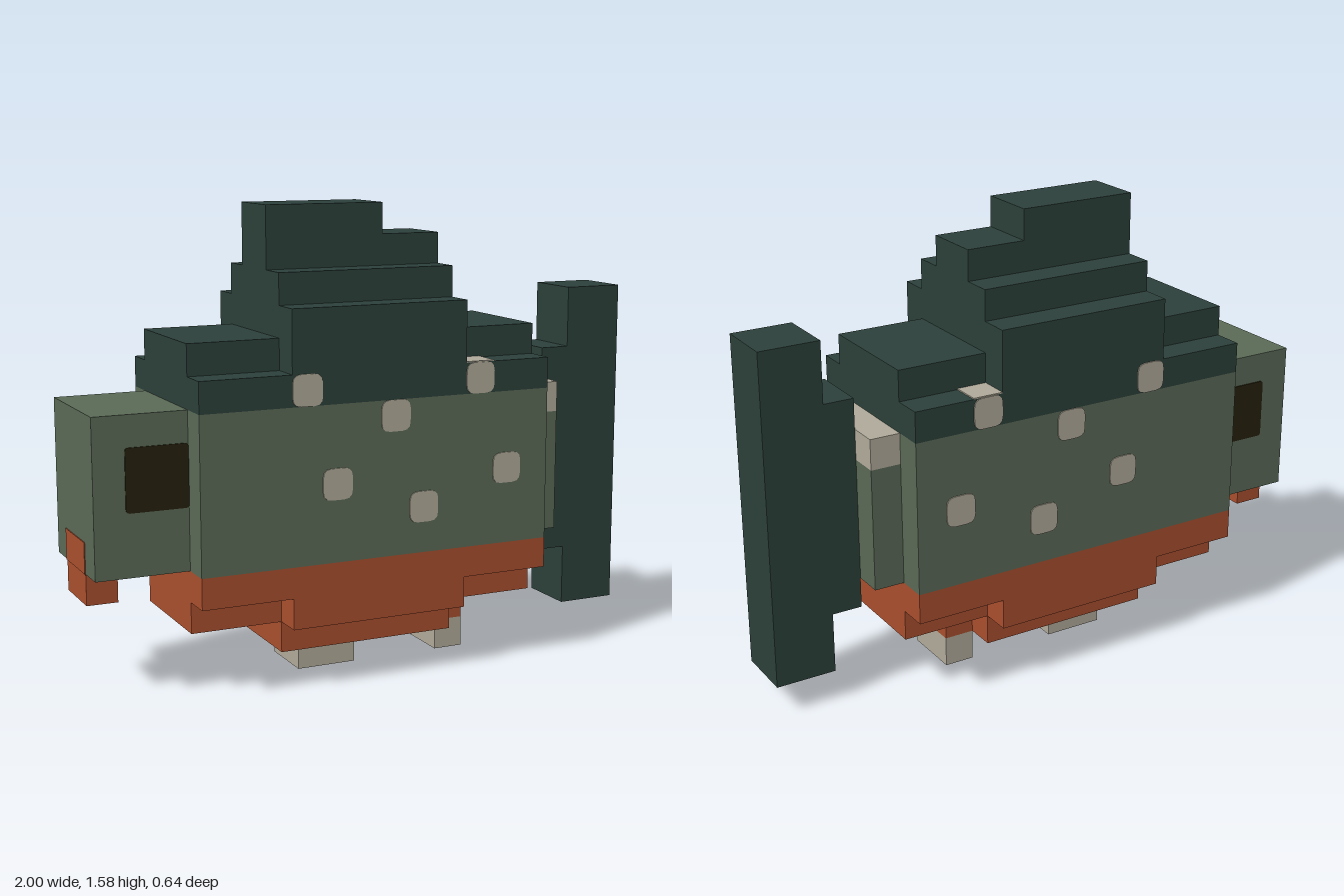
import * as THREE from 'three';

const U = 2 / 19; // one block

const mat = (name, color) => {
  const m = new THREE.MeshStandardMaterial({ color });
  m.name = name;
  return m;
};

export function createModel() {
  const model = new THREE.Group();
  model.name = 'blockFish';

  const darkGreen = mat('darkGreen', 0x2c403a);
  const green = mat('mossGreen', 0x5a6956);
  const orange = mat('rustOrange', 0xa84e2d);
  const beige = mat('paleBeige', 0xafa999);
  const eyeBrown = mat('eyeBrown', 0x25210e);

  // Box from block coordinates: x counted from the snout, y from the ground, z symmetric
  function block(name, material, x0, x1, y0, y1, halfZ) {
    const geo = new THREE.BoxGeometry((x1 - x0) * U, (y1 - y0) * U, 2 * halfZ * U);
    const mesh = new THREE.Mesh(geo, material);
    mesh.name = name;
    mesh.position.set(((x0 + x1) / 2) * U - 1, ((y0 + y1) / 2) * U, 0);
    model.add(mesh);
    return mesh;
  }

  // Thin rounded plate on both flanks
  function flankPlates(name, material, x, y, size, halfZ, r) {
    const s = size * U, h = s / 2;
    const shape = new THREE.Shape();
    shape.moveTo(-h + r, -h);
    shape.lineTo(h - r, -h);
    shape.quadraticCurveTo(h, -h, h, -h + r);
    shape.lineTo(h, h - r);
    shape.quadraticCurveTo(h, h, h - r, h);
    shape.lineTo(-h + r, h);
    shape.quadraticCurveTo(-h, h, -h, h - r);
    shape.lineTo(-h, -h + r);
    shape.quadraticCurveTo(-h, -h, -h + r, -h);
    const geo = new THREE.ExtrudeGeometry(shape, { depth: 0.004, bevelEnabled: false, curveSegments: 3 });
    for (const side of [1, -1]) {
      const mesh = new THREE.Mesh(geo, material);
      mesh.name = name;
      mesh.position.set((x + size / 2) * U - 1, (y + size / 2) * U, side * halfZ * U);
      if (side < 0) mesh.rotation.y = Math.PI;
      model.add(mesh);
    }
  }

  // Body and head
  block('body', green, 3, 15, 4, 9, 3);
  block('head', green, 0, 3, 4, 9, 2);

  // Stepped back and dorsal fin
  block('backLower', darkGreen, 3, 15, 9, 10, 3);
  block('backUpper', darkGreen, 3, 15, 10, 11, 2);
  block('dorsalBase', darkGreen, 6, 12, 10, 12, 3);
  block('dorsalMiddle', darkGreen, 6, 12, 12, 13, 2);
  block('dorsalRidge', darkGreen, 6, 12, 13, 14, 1);
  block('dorsalTip', darkGreen, 6, 10, 14, 15, 1);

  // Stepped belly
  block('bellyUpper', orange, 3, 15, 3, 4, 3);
  block('bellyMiddle', orange, 3, 15, 2, 3, 2);
  block('bellyMiddleWide', orange, 6, 12, 2, 3, 3);
  block('bellyLower', orange, 6, 12, 1, 2, 2);
  block('bellyRear', orange, 12, 13, 1, 2, 1);

  // Lower fins
  block('frontLowerFin', beige, 7, 9, 0, 1, 1);
  block('rearLowerFin', beige, 12, 13, 0, 1, 1);

  // Jaw and its painted lip
  block('jaw', orange, 0, 1, 3, 4, 1);
  block('lip', orange, -0.03, 0.02, 4, 5, 1);

  // Tail
  block('tailStem', green, 15, 16, 4, 8, 2);
  block('tailStemTop', beige, 15, 16, 8, 9, 2);
  block('tailFinRoot', darkGreen, 16, 17, 3, 10, 1);
  block('tailFin', darkGreen, 17, 19, 1, 12, 1);

  // Eyes
  flankPlates('eye', eyeBrown, 1, 6, 2, 2, 0.012);

  // Flank spots
  for (const [x, y] of [[6, 9], [12, 9], [9, 8], [7, 6], [13, 6], [10, 5]]) {
    flankPlates('spot', beige, x, y, 1, 3, 0.03);
  }

  // Spots on the shoulder ledges
  for (const side of [1, -1]) {
    const ledge = new THREE.Mesh(new THREE.BoxGeometry(U, 0.004, U), beige);
    ledge.name = 'ledgeSpot';
    ledge.position.set(12.5 * U - 1, 10 * U + 0.002, side * 2.5 * U);
    model.add(ledge);
  }

  return model;
}
